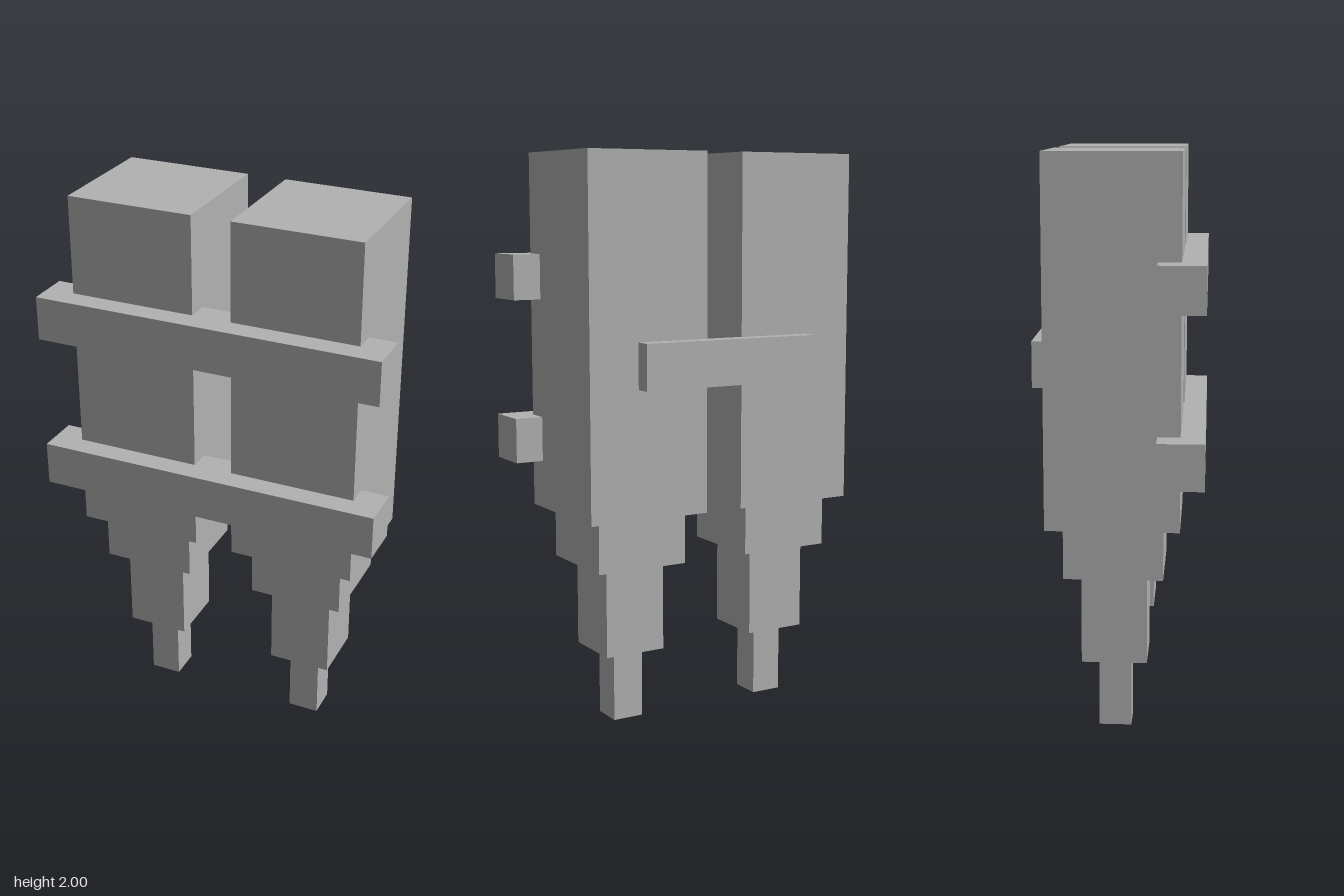
import * as THREE from 'three';

export function createModel() {
  const model = new THREE.Group();
  const grey = new THREE.MeshStandardMaterial({ color: 0xb2b2b2 });
  grey.name = 'grey';

  const addBox = (parent, name, [w, h, d], [x, bottom, z]) => {
    const mesh = new THREE.Mesh(new THREE.BoxGeometry(w, h, d), grey);
    mesh.name = name;
    mesh.position.set(x, bottom + h / 2, z);
    parent.add(mesh);
  };

  // Two square columns, each stepping down to a narrow tip: [name, width, bottom, top]
  const tiers = [
    ['tip', 0.113, 0, 0.254],
    ['lowerStep', 0.226, 0.254, 0.572],
    ['upperStep', 0.339, 0.572, 0.757],
    ['body', 0.452, 0.757, 2],
  ];
  for (const [side, s] of [['left', 1], ['right', -1]]) {
    const column = new THREE.Group();
    column.name = side + 'Column';
    column.position.set(s * 0.296, 0, -0.012);
    for (const [name, w, bottom, top] of tiers) {
      addBox(column, name, [w, top - bottom, w], [0, bottom, 0]);
    }
    model.add(column);
  }

  // Front crossbars, sunk into the columns
  addBox(model, 'lowerFrontBar', [1.244, 0.157, 0.158], [0, 0.925, 0.216]);
  addBox(model, 'upperFrontBar', [1.244, 0.157, 0.158], [0, 1.495, 0.216]);

  // Shorter strap joining the columns at the back
  addBox(model, 'backBar', [0.678, 0.16, 0.064], [0, 1.206, -0.263]);

  return model;
}
